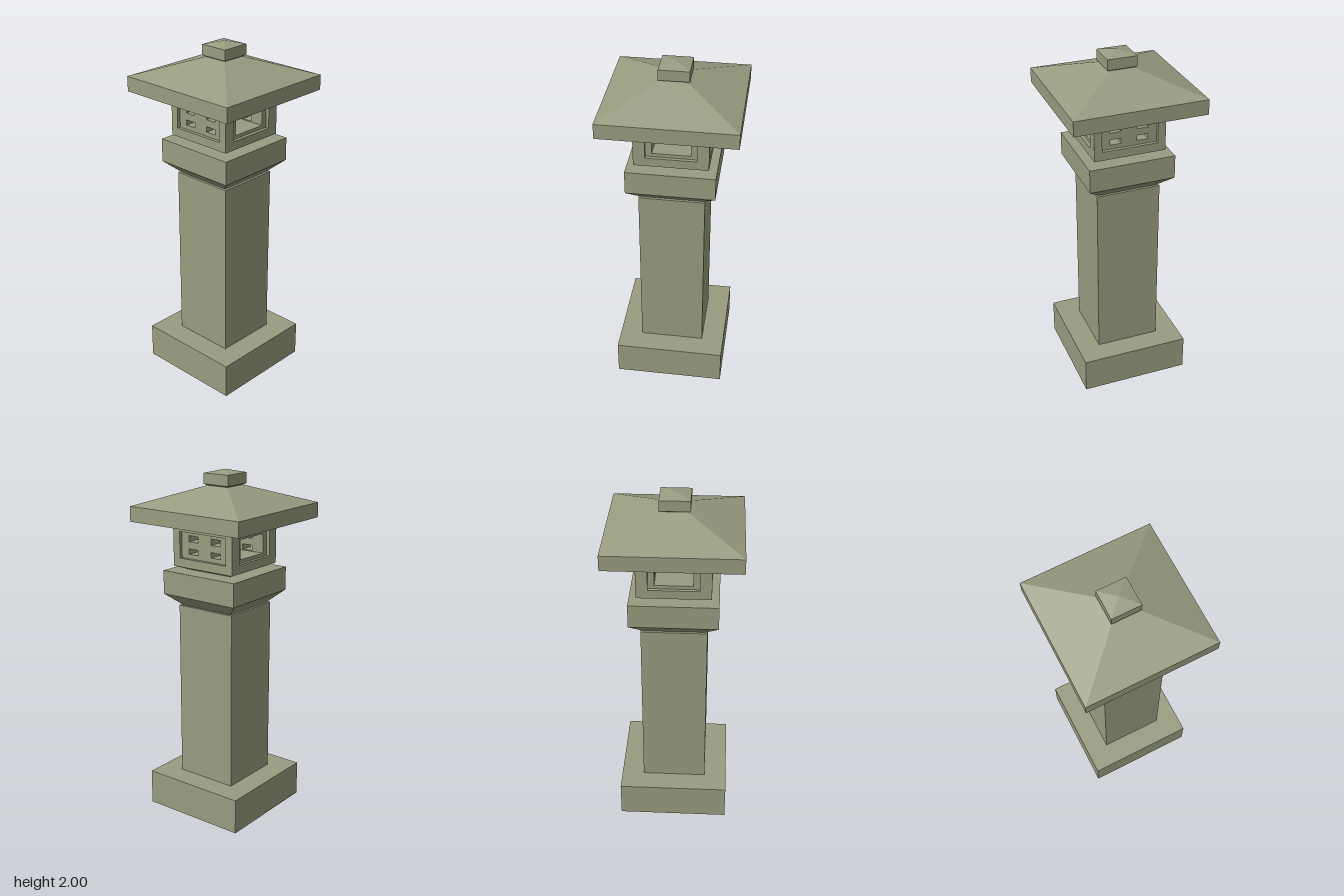
import * as THREE from 'three';

const stone = new THREE.MeshStandardMaterial({ color: 0x999c80, flatShading: true, side: THREE.DoubleSide });
stone.name = 'mossy stone';

// Square section lofted through [half width, height] pairs, bottom to top
function squareLoft(name, profile) {
  const points = profile.map(([half, y]) => new THREE.Vector2(half * Math.SQRT2, y));
  const geometry = new THREE.LatheGeometry(points, 4, Math.PI / 4).toNonIndexed();
  geometry.computeVertexNormals();
  const mesh = new THREE.Mesh(geometry, stone);
  mesh.name = name;
  return mesh;
}

function trace(path, [x0, x1, y0, y1]) {
  path.moveTo(x0, y0);
  path.lineTo(x1, y0);
  path.lineTo(x1, y1);
  path.lineTo(x0, y1);
  path.closePath();
  return path;
}

// Flat wall facing +z with rectangular openings; rectangles are [x0, x1, y0, y1]
function panel(name, rect, openings, z) {
  const shape = trace(new THREE.Shape(), rect);
  openings.forEach((r) => shape.holes.push(trace(new THREE.Path(), r)));
  const mesh = new THREE.Mesh(new THREE.ShapeGeometry(shape), stone);
  mesh.position.z = z;
  mesh.name = name;
  return mesh;
}

// Four reveals lining a rectangular opening between two depths
function reveal(name, [x0, x1, y0, y1], zBack, zFront) {
  const group = new THREE.Group();
  group.name = name;
  const depth = zFront - zBack;
  const z = (zFront + zBack) / 2;
  for (const [i, y] of [y0, y1].entries()) {
    const plane = new THREE.Mesh(new THREE.PlaneGeometry(x1 - x0, depth), stone);
    plane.rotation.x = i ? Math.PI / 2 : -Math.PI / 2;
    plane.position.set((x0 + x1) / 2, y, z);
    group.add(plane);
  }
  for (const [i, x] of [x0, x1].entries()) {
    const plane = new THREE.Mesh(new THREE.PlaneGeometry(depth, y1 - y0), stone);
    plane.rotation.y = i ? -Math.PI / 2 : Math.PI / 2;
    plane.position.set(x, (y0 + y1) / 2, z);
    group.add(plane);
  }
  return group;
}

function createChamber() {
  const chamber = new THREE.Group();
  chamber.name = 'lightChamber';
  const outer = 0.205, inset = 0.185, inner = 0.105;
  const wall = [-outer, outer, 1.465, 1.715];
  const bigWindow = [-inner, inner, 1.535, 1.645];
  const slots = [];
  for (const [z0, z1] of [[-0.11, -0.045], [0.045, 0.11]])
    for (const [y0, y1] of [[1.54, 1.57], [1.61, 1.645]]) slots.push([z0, z1, y0, y1]);

  for (let i = 0; i < 4; i++) {
    const side = new THREE.Group();
    const isSlotted = i % 2 === 1;
    side.name = isSlotted ? 'slottedWall' : 'windowWall';
    const half = isSlotted ? 0.16 : 0.14;
    const recess = [-half, half, 1.515, 1.665];
    side.add(panel('wallFace', wall, [recess], outer));
    side.add(reveal('recessEdge', recess, inset, outer));
    side.add(panel('recessPanel', recess, isSlotted ? slots : [bigWindow], inset));
    if (isSlotted) {
      slots.forEach((s) => side.add(reveal('slotReveal', s, inner, inset)));
      side.add(panel('passageWall', [-inset, inset, 1.535, 1.645], slots, inner));
    }
    side.rotation.y = (i * Math.PI) / 2;
    chamber.add(side);
  }

  // Floor and ceiling of the passage between the two large windows
  for (const y of [1.535, 1.645]) {
    const slab = new THREE.Mesh(new THREE.PlaneGeometry(inner * 2, inset * 2), stone);
    slab.rotation.x = y < 1.6 ? -Math.PI / 2 : Math.PI / 2;
    slab.position.y = y;
    slab.name = y < 1.6 ? 'passageFloor' : 'passageCeiling';
    chamber.add(slab);
  }
  chamber.add(squareLoft('chamberFoot', [[0.14, 1.44], [0.205, 1.465]]));
  return chamber;
}

export function createModel() {
  const model = new THREE.Group();
  model.name = 'stoneLantern';
  // Hollow base and column, open underneath
  model.add(squareLoft('base', [[0.315, 0], [0.315, 0.205], [0.185, 0.205]]));
  model.add(squareLoft('column', [[0.185, 0.205], [0.185, 1.235], [0.17, 1.235]]));
  model.add(squareLoft('platform', [[0.17, 1.235], [0.247, 1.305], [0.247, 1.44], [0.14, 1.44]]));
  model.add(createChamber());
  model.add(squareLoft('roof', [[0.205, 1.713], [0.29, 1.713], [0.372, 1.72], [0.372, 1.805], [0.07, 1.912]]));
  model.add(squareLoft('finial', [[0.07, 1.912], [0.084, 1.92], [0.084, 1.98], [0, 2]]));
  return model;
}
